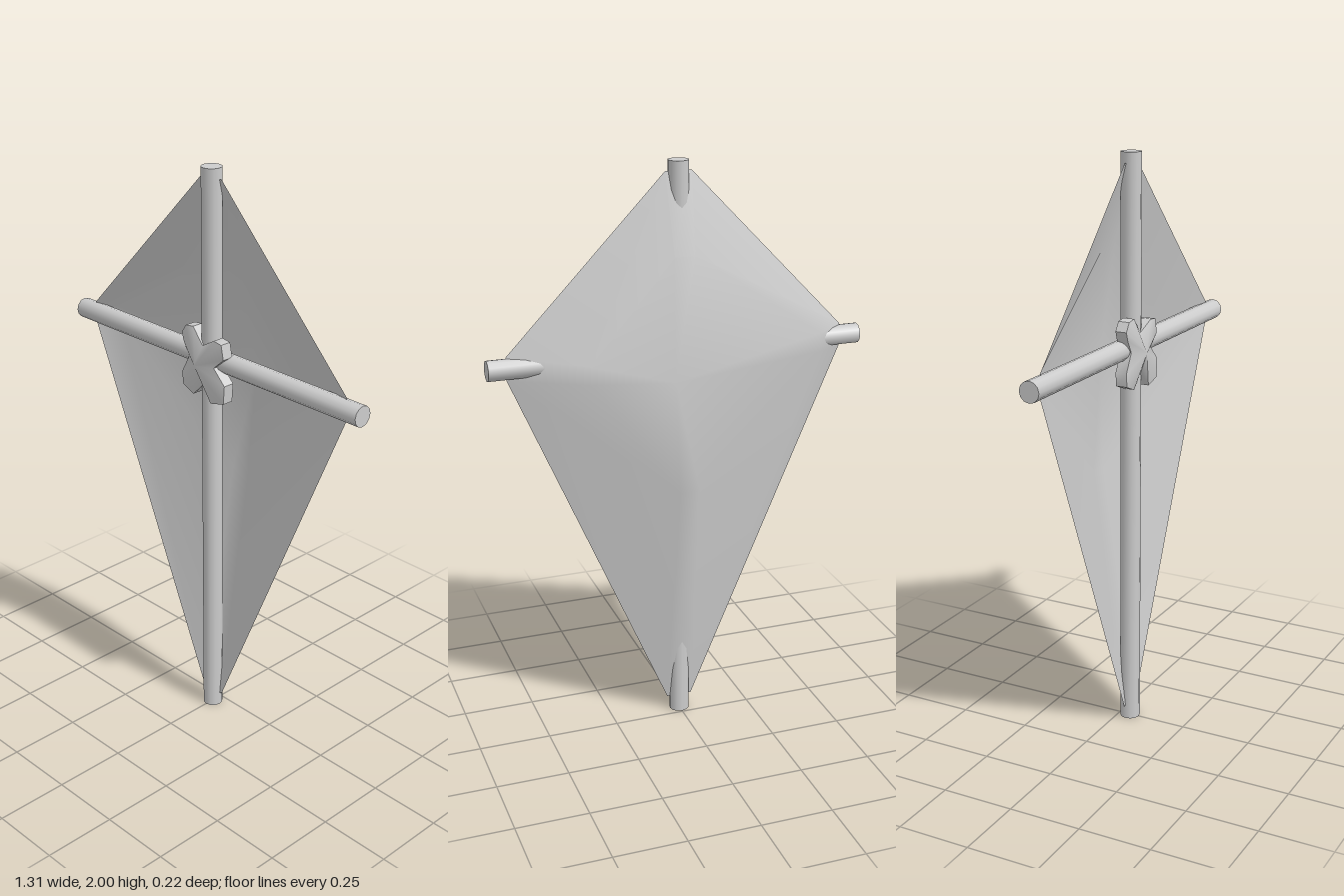
import * as THREE from 'three';
import { toCreasedNormals } from 'three/addons/utils/BufferGeometryUtils.js';

const material = new THREE.MeshStandardMaterial({ color: 0xcccccc });
const clothMaterial = new THREE.MeshStandardMaterial({ color: 0xcccccc, side: THREE.DoubleSide });
const CROSS_Y = 1.36, ROD_Z = 0.04;

// Closed rings of equal length joined by strips, with optional fans to a point at each end
function loft(rings, startPoint, endPoint) {
  const n = rings[0].length, points = rings.flat(), index = [];
  const at = (r, i) => r * n + (i % n);
  for (let r = 0; r < rings.length - 1; r++) {
    for (let i = 0; i < n; i++) {
      index.push(at(r, i), at(r, i + 1), at(r + 1, i));
      index.push(at(r, i + 1), at(r + 1, i + 1), at(r + 1, i));
    }
  }
  const last = rings.length - 1;
  for (let i = 0; i < n; i++) {
    if (startPoint) index.push(points.length, at(0, i + 1), at(0, i));
    if (endPoint) index.push(points.length + (startPoint ? 1 : 0), at(last, i), at(last, i + 1));
  }
  if (startPoint) points.push(startPoint);
  if (endPoint) points.push(endPoint);
  const geometry = new THREE.BufferGeometry();
  geometry.setAttribute('position', new THREE.Float32BufferAttribute(points.flat(), 3));
  geometry.setIndex(index);
  geometry.computeVertexNormals();
  return geometry;
}

export function createModel() {
  const model = new THREE.Group();
  model.name = 'kite';
  const add = (name, geometry, mat = material) => {
    const mesh = new THREE.Mesh(geometry, mat);
    mesh.name = name;
    model.add(mesh);
    return mesh;
  };

  // Crossed rods
  const rod = (length) => toCreasedNormals(new THREE.CylinderGeometry(0.035, 0.035, length, 12), 0.9);
  add('spineRod', rod(2)).position.set(0, 1, ROD_Z);
  const spar = add('crossRod', rod(1.31));
  spar.rotation.z = Math.PI / 2;
  spar.position.set(0, CROSS_Y, ROD_Z);

  // Billowed sail: flat clipped-diamond rim, a belly ring and an off-centre apex behind
  const rim = [
    [0.045, 1.965], [-0.045, 1.965], [-0.59, 1.4], [-0.59, 1.32],
    [-0.045, 0.05], [0.045, 0.05], [0.59, 1.32], [0.59, 1.4],
  ].map(([x, y]) => [x, y, ROD_Z]);
  const belly = [
    [0.04, 1.7, -0.04], [-0.03, 1.7, -0.04], [-0.5, 1.385, -0.005], [-0.5, 1.32, -0.005],
    [-0.03, 0.9, -0.088], [0.04, 0.9, -0.09], [0.33, 1.3, -0.036], [0.33, 1.36, -0.034],
  ];
  add('sail', loft([rim, belly], null, [0.06, 1.3, -0.108]), clothMaterial);

  // Lumpy four-armed binding over the crossing
  const outline = [
    [-0.105, 1.43], [-0.085, 1.46], [-0.05, 1.465], [-0.005, 1.41],
    [0.055, 1.445], [0.09, 1.44], [0.1, 1.39], [0.055, 1.35],
    [0.105, 1.3], [0.1, 1.235], [0.04, 1.22], [0, 1.275],
    [-0.05, 1.225], [-0.1, 1.245], [-0.105, 1.29], [-0.07, 1.355], [-0.095, 1.4],
  ].reverse();
  const ring = (z) => outline.map(([x, y]) => [x, y, z + (x > 0 ? 0.006 : -0.002)]);
  const knot = loft([ring(0.04), ring(0.08)], [0, CROSS_Y, 0.04], [-0.015, 1.345, 0.108]);
  add('crossBinding', toCreasedNormals(knot, 0.8));

  return model;
}
